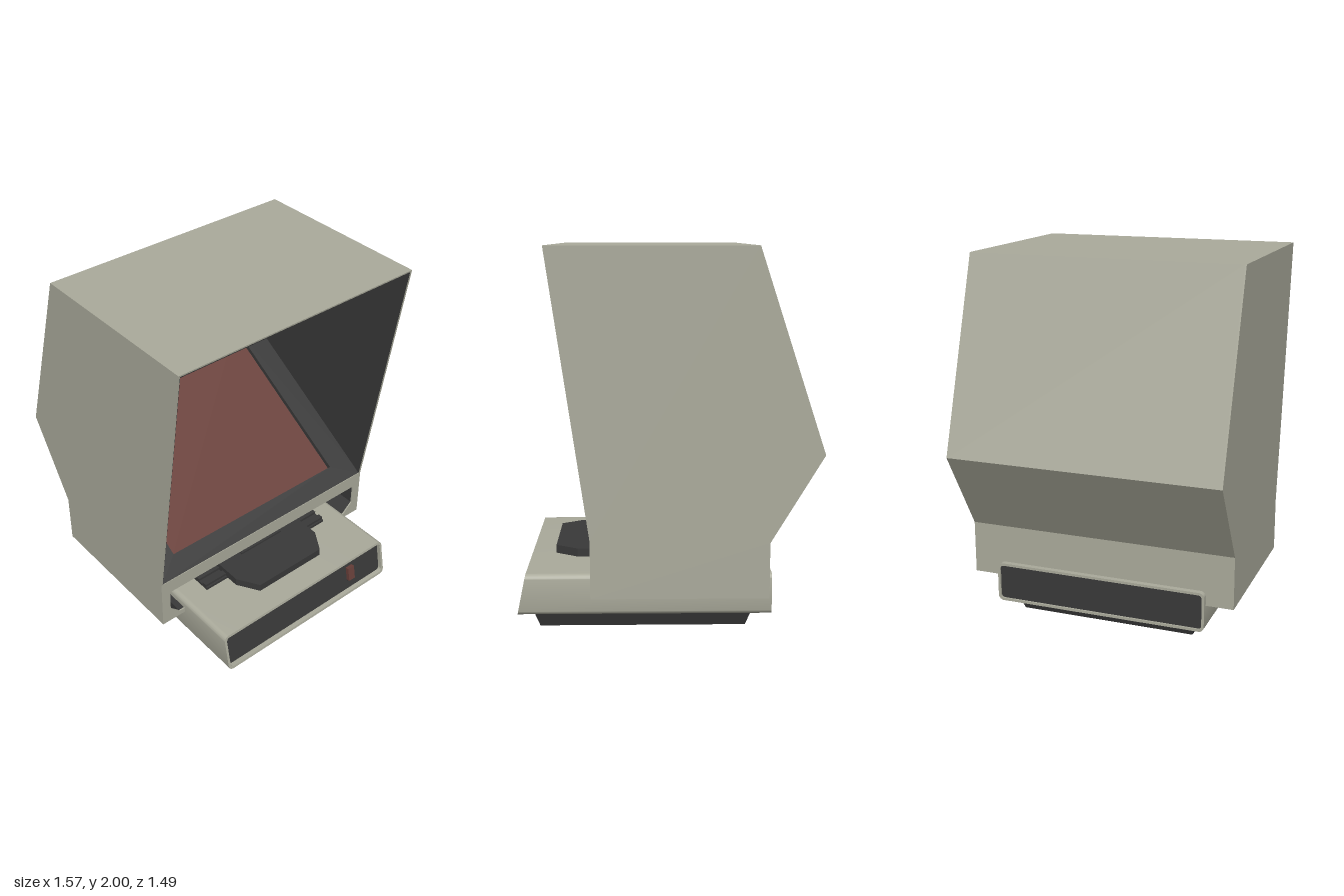
import * as THREE from 'three';
import { toCreasedNormals } from 'three/addons/utils/BufferGeometryUtils.js';

const mat = (name, color) => {
  const m = new THREE.MeshStandardMaterial({ color });
  m.name = name;
  return m;
};

const polygon = (pts) => new THREE.Shape(pts.map(([x, y]) => new THREE.Vector2(x, y)));

function roundedRect(w, y0, y1, r) {
  const s = new THREE.Shape();
  s.moveTo(-w + r, y0);
  s.lineTo(w - r, y0);
  s.absarc(w - r, y0 + r, r, -Math.PI / 2, 0);
  s.lineTo(w, y1 - r);
  s.absarc(w - r, y1 - r, r, 0, Math.PI / 2);
  s.lineTo(-w + r, y1);
  s.absarc(-w + r, y1 - r, r, Math.PI / 2, Math.PI);
  s.lineTo(-w, y0 + r);
  s.absarc(-w + r, y0 + r, r, Math.PI, Math.PI * 1.5);
  return s;
}

const extrude = (shape, depth) =>
  new THREE.ExtrudeGeometry(shape, { depth, bevelEnabled: false, curveSegments: 6 });

// extrude a (z, y) outline along x from x0 to x1
const extrudeX = (shape, x0, x1) =>
  extrude(shape, x1 - x0).rotateY(Math.PI / 2).translate(x0, 0, 0);

// extrude an (x, y) outline along z from z0 to z1
const extrudeZ = (shape, z0, z1) => extrude(shape, z1 - z0).translate(0, 0, z0);

export function createModel() {
  const group = new THREE.Group();
  const beige = mat('beige casing', 0xaaaa9b);
  const dark = mat('charcoal plastic', 0x393939);
  const red = mat('dull red', 0x69403a);

  const add = (name, geometry, material, parent = group) => {
    const mesh = new THREE.Mesh(geometry, material);
    mesh.name = name;
    parent.add(mesh);
    return mesh;
  };
  const box = (name, x0, x1, y0, y1, z0, z1, material) =>
    add(name, new THREE.BoxGeometry(x1 - x0, y1 - y0, z1 - z0)
      .translate((x0 + x1) / 2, (y0 + y1) / 2, (z0 + z1) / 2), material);

  // hood side walls with dark lining
  const side = [[-0.45, 2], [-0.79, 0.97], [-0.52, 0.52], [-0.52, 0.23], [0.39, 0.23], [0.39, 0.53], [0.6, 2]];
  const lining = [[-0.445, 1.99], [-0.7, 1.2], [0.386, 0.53], [0.596, 1.99]];
  for (const s of [-1, 1]) {
    add('hoodSide', extrudeZ(polygon(side), s * 0.741 - 0.004, s * 0.741 + 0.004), beige);
    add('hoodSideLining', extrudeZ(polygon(lining), s * 0.735 - 0.002, s * 0.735 + 0.002), dark);
  }

  // hood top, back and underside as one folded band
  add('hoodShell', extrudeZ(polygon([
    [0.6, 2], [-0.45, 2], [-0.79, 0.97], [-0.52, 0.52], [-0.52, 0.23], [0.39, 0.23],
    [0.388, 0.238], [-0.512, 0.238], [-0.512, 0.522], [-0.781, 0.97], [-0.444, 1.992], [0.599, 1.992],
  ]), -0.737, 0.737), beige);

  // dark ceiling and back wall inside the hood
  add('hoodLining', extrudeZ(polygon([
    [0.598, 1.992], [-0.444, 1.992], [-0.705, 1.2], [-0.697, 1.2], [-0.438, 1.986], [0.597, 1.986],
  ]), -0.735, 0.735), dark);

  // sloping panel with a recessed screen
  const slope = new THREE.Group();
  slope.name = 'screenPanel';
  const panel = polygon([[-0.735, 0], [0.735, 0], [0.735, 1.275], [-0.735, 1.275]]);
  panel.holes.push(polygon([[-0.585, 0.114], [0.585, 0.114], [0.585, 1.152], [-0.585, 1.152]]));
  const tilt = Math.atan2(1.085, 0.67);
  const onSlope = (g) => g.rotateY(Math.PI / 2).rotateZ(tilt).translate(0.386, 0.53, 0);
  add('screenFrame', onSlope(extrude(panel, 0.026).translate(0, 0, -0.026)), dark, slope);
  add('screen', onSlope(new THREE.BoxGeometry(1.19, 1.06, 0.005).translate(0, 0.633, -0.028)), red, slope);
  group.add(slope);

  // front strip with the stage opening and its dark tunnel
  const opening = (w, w2, top, mid, low) =>
    polygon([[-w2, low], [w2, low], [w, mid], [w, top], [-w, top], [-w, mid]]);
  const strip = polygon([[-0.737, 0.23], [0.737, 0.23], [0.737, 0.53], [-0.737, 0.53]]);
  strip.holes.push(opening(0.69, 0.63, 0.445, 0.32, 0.26));
  add('frontStrip', extrudeX(strip, 0.382, 0.39), beige);
  const tunnel = opening(0.7, 0.635, 0.455, 0.315, 0.25);
  tunnel.holes.push(opening(0.69, 0.63, 0.445, 0.32, 0.26));
  add('stageTunnel', extrudeX(tunnel, -0.4, 0.383), dark);
  add('stageTunnelBack', extrudeX(opening(0.7, 0.635, 0.455, 0.315, 0.25), -0.41, -0.4), dark);

  // base sleeve with rounded corners and a raked front
  const sleeve = roundedRect(0.595, 0.09, 0.31, 0.03);
  sleeve.holes.push(roundedRect(0.581, 0.104, 0.296, 0.02));
  const sleeveGeo = extrudeX(sleeve, -0.55, 0.78);
  const p = sleeveGeo.attributes.position;
  for (let i = 0; i < p.count; i++) {
    if (p.getX(i) > 0) p.setX(i, 0.78 - (p.getY(i) - 0.09) * 0.205);
  }
  add('baseSleeve', toCreasedNormals(sleeveGeo, 0.6), beige);

  // inset end panels and the switch
  const front = add('baseFrontPanel', new THREE.BoxGeometry(0.01, 0.2, 1.165), dark);
  front.position.set(0.728, 0.2, 0);
  front.rotation.z = 0.2;
  box('baseBackPanel', -0.54, -0.53, 0.1, 0.3, -0.583, 0.583, dark);
  const power = add('powerSwitch', new THREE.BoxGeometry(0.022, 0.085, 0.045), red);
  power.position.set(0.743, 0.211, -0.345);
  power.rotation.z = 0.2;
  box('switchSocket', 0.73, 0.75, 0.162, 0.172, -0.367, -0.323, dark);

  // tapered foot under the base
  const foot = new THREE.BoxGeometry(1, 1, 1);
  const f = foot.attributes.position;
  for (let i = 0; i < f.count; i++) {
    const top = f.getY(i) > 0;
    const x = f.getX(i) > 0 ? (top ? 0.705 : 0.67) : (top ? -0.455 : -0.42);
    f.setXYZ(i, x, top ? 0.1 : 0, Math.sign(f.getZ(i)) * (top ? 0.525 : 0.495));
  }
  foot.computeVertexNormals();
  add('foot', foot, dark);

  // sliding stage with chamfered front and ribbed guides
  const plate = polygon([
    [0.1, -0.3], [0.48, -0.3], [0.6, -0.225], [0.6, 0.225], [0.48, 0.3], [0.1, 0.3],
  ]);
  add('stagePlate', extrude(plate, 0.045).rotateX(-Math.PI / 2).translate(0, 0.32, 0), dark);
  box('stageGlassClamp', 0.1, 0.35, 0.365, 0.376, -0.15, 0.15, dark);
  box('stageGuide', -0.3, 0.4, 0.305, 0.325, -0.445, 0.445, dark);
  for (let i = 0; i < 5; i++) {
    const x = 0.39 - i * 0.06;
    box('guideRib', x - 0.03, x, 0.32, 0.34, -0.445, 0.445, dark);
  }

  // dark runners between hood and base
  for (const s of [-1, 1]) {
    box('runner', -0.46, 0.33, 0.207, 0.245, s * 0.6 - 0.01, s * 0.6 + 0.01, dark);
  }
  return group;
}
